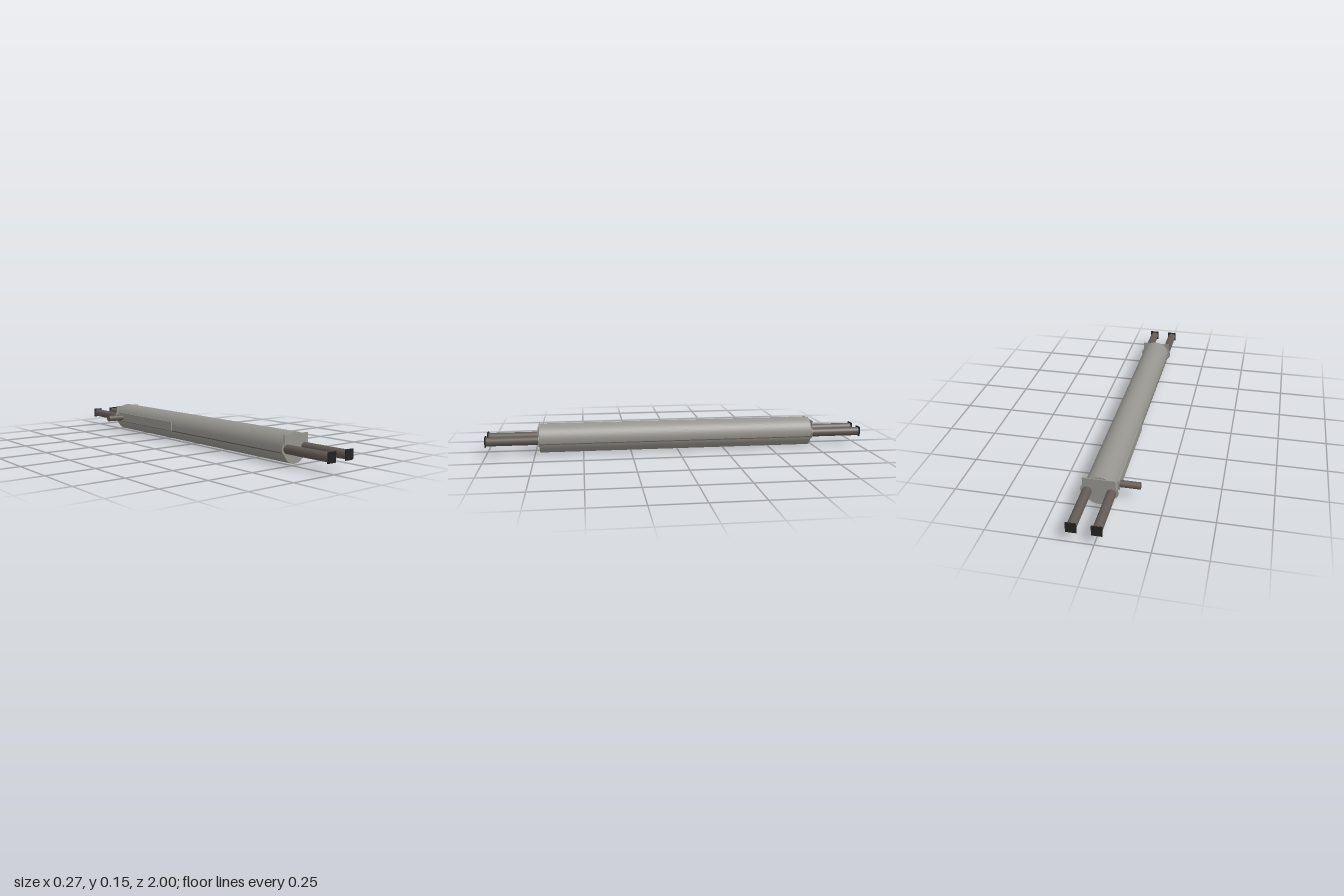
import * as THREE from 'three';

export function createModel() {
  const group = new THREE.Group();
  const material = (name, color) => {
    const m = new THREE.MeshStandardMaterial({ color });
    m.name = name;
    return m;
  };
  const grey = material('bodyGrey', 0x96948e);
  const brown = material('rodBrown', 0x625a54);
  const black = material('capBlack', 0x222222);

  const add = (name, geometry, mat, x, y, z) => {
    const mesh = new THREE.Mesh(geometry, mat);
    mesh.name = name;
    mesh.position.set(x, y, z);
    group.add(mesh);
    return mesh;
  };
  // Cylinder lying along z
  const bar = (r, length, sides = 32) =>
    new THREE.CylinderGeometry(r, r, length, sides).rotateX(Math.PI / 2);

  const cx = 0.0435, cy = 0.0775, radius = 0.0765;
  const rodX = [-0.014, 0.101];

  // Long main tube
  add('mainTube', bar(radius, 1.45, 64), grey, cx, cy, 0);

  // Dark seam low on both flanks of the tube
  const seamY = 0.058;
  const seamX = Math.sqrt(radius ** 2 - (cy - seamY) ** 2);
  for (const side of [-1, 1]) {
    add('sideSeam', new THREE.BoxGeometry(0.004, 0.005, 1.45), brown, cx + side * (seamX - 0.0005), seamY, 0);
  }

  for (const end of [-1, 1]) {
    // Upright end plate
    add('endPlate', new THREE.BoxGeometry(0.157, 0.085, 0.005), grey, 0.0445, 0.1025, end * 0.7285);
    for (const x of rodX) {
      // Round collar, projecting rod and square end cap
      add('rodCollar', bar(0.033, 0.005), grey, x, 0.077, end * 0.7265);
      add('rod', bar(0.0225, 0.272), brown, x, 0.077, end * 0.86);
      add('endCap', new THREE.BoxGeometry(0.05, 0.05, 0.006), black, x, 0.0785, end * 0.997);
    }
  }

  // Handle with its slide strip on the right flank
  add('slideStrip', new THREE.BoxGeometry(0.008, 0.05, 0.535), grey, -0.0355, 0.085, -0.4125);
  const handle = add('handle', new THREE.CylinderGeometry(0.017, 0.017, 0.112, 32), brown, -0.081, 0.0825, -0.657);
  handle.rotation.z = Math.PI / 2;

  return group;
}
